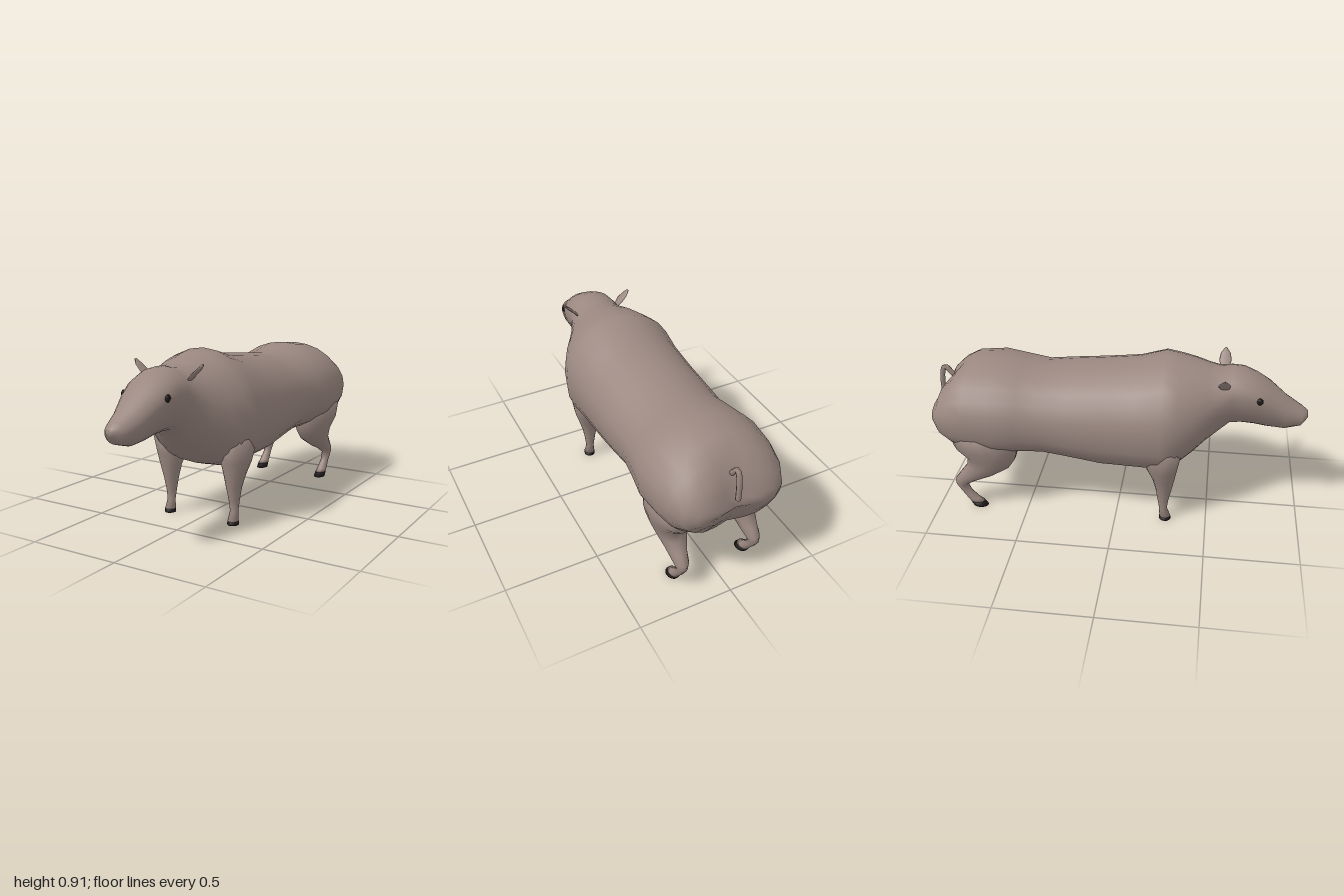
import * as THREE from 'three';

const hide = new THREE.MeshStandardMaterial({ color: 0x9a8780 });
hide.name = 'greyBrownHide';
const dark = new THREE.MeshStandardMaterial({ color: 0x1c1a19 });
dark.name = 'darkHoof';
const SIDES = 24;

// Skin a list of closed rings (arrays of [x, y, z]) and close both ends.
function loft(rings) {
  const n = rings[0].length, pos = [], index = [];
  rings.forEach(r => r.forEach(p => pos.push(...p)));
  for (let i = 0; i < rings.length - 1; i++) {
    for (let j = 0; j < n; j++) {
      const a = i * n + j, b = i * n + (j + 1) % n;
      index.push(a, a + n, b, b, a + n, b + n);
    }
  }
  const cap = (ring, base, flip) => {
    const c = pos.length / 3;
    pos.push(...[0, 1, 2].map(k => ring.reduce((s, p) => s + p[k], 0) / n));
    for (let j = 0; j < n; j++) {
      const a = base + j, b = base + (j + 1) % n;
      if (flip) index.push(c, b, a); else index.push(c, a, b);
    }
  };
  cap(rings[0], 0, false);
  cap(rings[rings.length - 1], (rings.length - 1) * n, true);
  const g = new THREE.BufferGeometry();
  g.setAttribute('position', new THREE.Float32BufferAttribute(pos, 3));
  g.setIndex(index);
  g.computeVertexNormals();
  return g;
}

function part(name, geometry, material) {
  const m = new THREE.Mesh(geometry, material);
  m.name = name;
  return m;
}

// Torso and head stations: z, top, bottom, half width, height of widest point, lower squareness
const BODY = [
  [0.998, 0.63, 0.59, 0.025, 0.61, 2],
  [0.965, 0.655, 0.55, 0.06, 0.60, 2.2],
  [0.88, 0.71, 0.525, 0.085, 0.63, 2],
  [0.79, 0.785, 0.53, 0.115, 0.69, 1.8],
  [0.72, 0.825, 0.54, 0.135, 0.73, 1.7],
  [0.65, 0.857, 0.547, 0.14, 0.74, 1.8],
  [0.59, 0.86, 0.545, 0.145, 0.74, 2],
  [0.53, 0.85, 0.49, 0.17, 0.70, 2],
  [0.47, 0.862, 0.44, 0.21, 0.66, 2],
  [0.40, 0.882, 0.375, 0.262, 0.62, 2.1],
  [0.32, 0.896, 0.315, 0.305, 0.60, 2.4],
  [0.24, 0.91, 0.29, 0.328, 0.58, 2.5],
  [0.10, 0.867, 0.285, 0.315, 0.57, 2.4],
  [-0.08, 0.847, 0.285, 0.308, 0.56, 2.3],
  [-0.25, 0.83, 0.32, 0.305, 0.56, 2.3],
  [-0.40, 0.812, 0.34, 0.298, 0.57, 2.3],
  [-0.52, 0.83, 0.342, 0.315, 0.58, 2.4],
  [-0.65, 0.85, 0.345, 0.338, 0.58, 2.5],
  [-0.80, 0.836, 0.345, 0.325, 0.58, 2.4],
  [-0.88, 0.79, 0.36, 0.307, 0.58, 2.3],
  [-0.95, 0.72, 0.41, 0.27, 0.57, 2.2],
  [-0.99, 0.64, 0.48, 0.215, 0.565, 2],
  [-1.0, 0.595, 0.53, 0.13, 0.56, 2],
];

function bodyGeometry() {
  return loft(BODY.map(([z, top, bottom, w, mid, power]) =>
    Array.from({ length: SIDES }, (_, j) => {
      const a = (j / SIDES) * Math.PI * 2, c = Math.cos(a), s = Math.sin(a);
      const e = s < 0 ? 2 / power : 1;
      const x = w * Math.sign(c) * Math.pow(Math.abs(c), e);
      const y = s < 0 ? mid - (mid - bottom) * Math.pow(-s, e) : mid + (top - mid) * s;
      // crease between the two halves of the rump
      const rear = THREE.MathUtils.smoothstep(-z, 0.7, 1);
      return [x, y, z + 0.04 * rear * Math.exp(-((x / 0.09) ** 2))];
    })));
}

// Leg stations: y, front z, back z, inner x, outer x
const FORELEG = [
  [0.47, 0.36, 0.12, 0.12, 0.305],
  [0.34, 0.335, 0.165, 0.12, 0.283],
  [0.27, 0.322, 0.2, 0.142, 0.26],
  [0.20, 0.308, 0.22, 0.157, 0.24],
  [0.13, 0.293, 0.232, 0.17, 0.228],
  [0.07, 0.285, 0.243, 0.178, 0.222],
  [0.02, 0.305, 0.245, 0.171, 0.229],
];
const FOREHOOF = [
  [0.02, 0.306, 0.244, 0.17, 0.23],
  [0, 0.308, 0.244, 0.17, 0.23],
];
const HINDLEG = [
  [0.52, -0.55, -0.92, 0.07, 0.32],
  [0.40, -0.53, -0.89, 0.08, 0.312],
  [0.33, -0.55, -0.82, 0.10, 0.292],
  [0.27, -0.59, -0.83, 0.12, 0.272],
  [0.22, -0.67, -0.87, 0.15, 0.255],
  [0.175, -0.775, -0.902, 0.165, 0.245],
  [0.14, -0.837, -0.902, 0.18, 0.235],
  [0.09, -0.815, -0.872, 0.185, 0.23],
  [0.045, -0.775, -0.84, 0.18, 0.235],
  [0.028, -0.75, -0.83, 0.178, 0.236],
];
const HINDHOOF = [
  [0.028, -0.749, -0.831, 0.177, 0.237],
  [0, -0.73, -0.815, 0.175, 0.238],
];

function legGeometry(stations, side) {
  const n = 14;
  return loft(stations.map(([y, front, back, inner, outer]) =>
    Array.from({ length: n }, (_, j) => {
      const a = (j / n) * Math.PI * 2;
      return [
        side * (inner + outer) / 2 + Math.cos(a) * (outer - inner) / 2,
        y,
        (front + back) / 2 - Math.sin(a) * (front - back) / 2,
      ];
    })));
}

// Small pointed leaf, swept up and outwards from the skull
function earGeometry(side) {
  const rows = [[0.115, 0.785, 0.02], [0.15, 0.825, 0.033], [0.18, 0.852, 0.026], [0.2, 0.874, 0.006]];
  return loft(rows.map(([x, y, half]) =>
    Array.from({ length: 8 }, (_, j) => {
      const a = (j / 8) * Math.PI * 2, t = 0.006 * Math.sin(a);
      return [side * (x + t * 0.7), y - t * 0.7, 0.55 - side * Math.cos(a) * half];
    })));
}

export function createModel() {
  const model = new THREE.Group();
  model.name = 'animal';
  model.add(part('body', bodyGeometry(), hide));

  for (const [side, label] of [[1, 'left'], [-1, 'right']]) {
    const add = (name, geometry, material) => model.add(part(label + name, geometry, material));
    add('Foreleg', legGeometry(FORELEG, side), hide);
    add('ForeHoof', legGeometry(FOREHOOF, side), dark);
    add('HindLeg', legGeometry(HINDLEG, side), hide);
    add('HindHoof', legGeometry(HINDHOOF, side), dark);
    add('Ear', earGeometry(side), hide);
    const eye = new THREE.SphereGeometry(1, 12, 8);
    eye.scale(0.011, 0.019, 0.018);
    eye.translate(side * 0.128, 0.736, 0.735);
    add('Eye', eye, dark);
  }

  // Short tail hanging over the rump crease
  const path = new THREE.CatmullRomCurve3([
    [0, 0.72, -0.92], [0, 0.765, -0.962], [0, 0.735, -0.978], [0, 0.67, -0.985], [0, 0.61, -0.985],
  ].map(p => new THREE.Vector3(...p)));
  model.add(part('tail', new THREE.TubeGeometry(path, 16, 0.014, 8), hide));
  return model;
}
